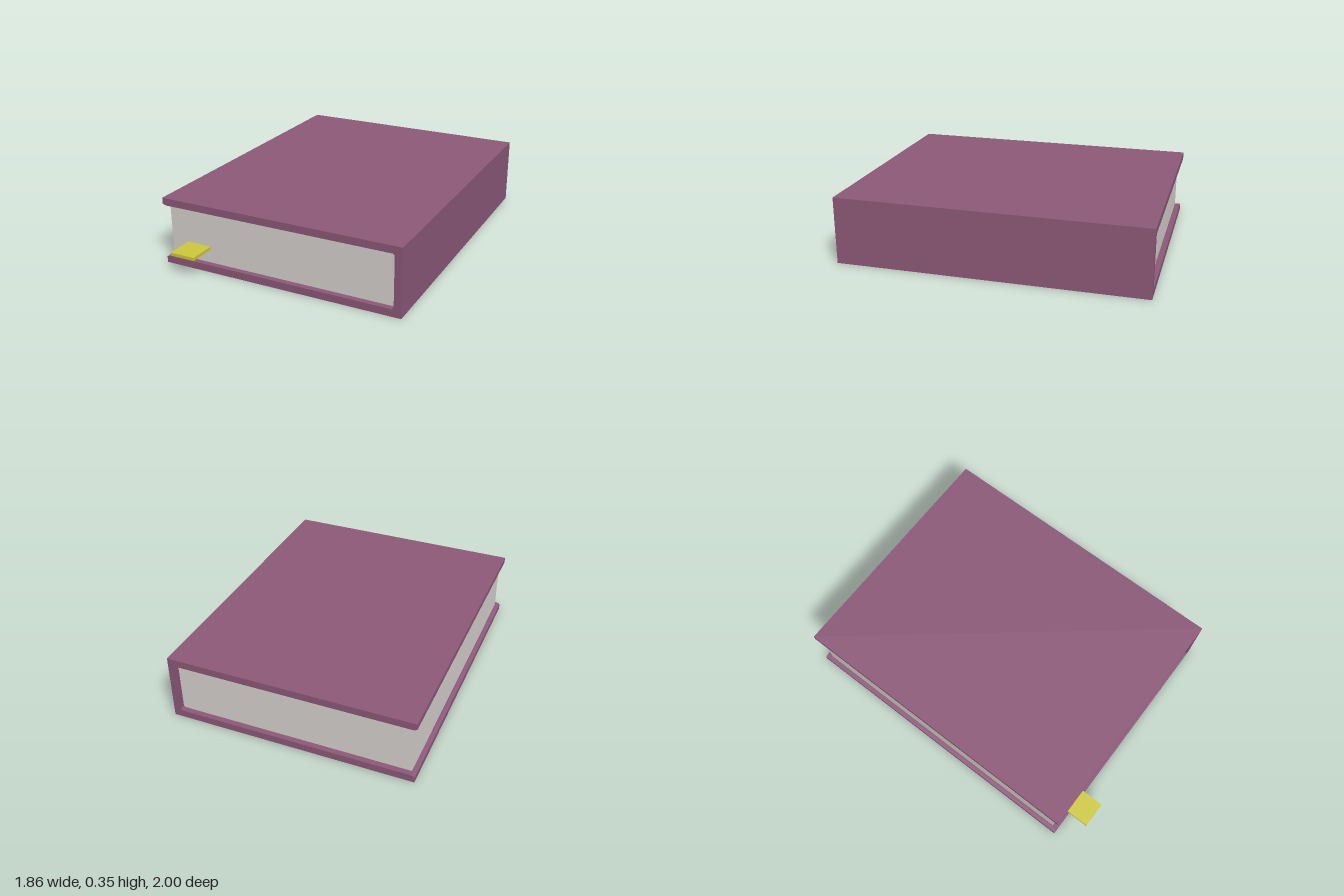
import * as THREE from 'three';

export function createModel() {
  const book = new THREE.Group();
  book.name = 'book';

  const material = (name, color) => {
    const m = new THREE.MeshStandardMaterial({ color });
    m.name = name;
    return m;
  };
  const coverPlum = material('coverPlum', 0x8e5a79);
  const pagePaper = material('pagePaper', 0xd9d5d2);
  const ribbonYellow = material('ribbonYellow', 0xd0ca3a);

  const W = 0.64, L = 0.795, H = 0.35; // half width, half length, height
  const T = 0.038;                     // cover thickness

  // Cover: one C-shaped profile with bevelled inner edges, run along the spine
  const profile = [
    [-W, 0], [W, 0], [W, H], [-W, H],
    [-W, H - 0.031], [-W + 0.016, H - T],
    [W - T - 0.008, H - T], [W - T, H - T - 0.008],
    [W - T, T + 0.008], [W - T - 0.008, T],
    [-W + 0.016, T], [-W, 0.031],
  ].map(([x, y]) => new THREE.Vector2(x, y));
  const coverGeometry = new THREE.ExtrudeGeometry(new THREE.Shape(profile), {
    depth: 2 * L, bevelEnabled: false,
  });
  coverGeometry.translate(0, 0, -L);
  const cover = new THREE.Mesh(coverGeometry, coverPlum);
  cover.name = 'cover';
  book.add(cover);

  const addBox = (name, mat, [x0, x1], [y0, y1], [z0, z1]) => {
    const mesh = new THREE.Mesh(new THREE.BoxGeometry(x1 - x0, y1 - y0, z1 - z0), mat);
    mesh.position.set((x0 + x1) / 2, (y0 + y1) / 2, (z0 + z1) / 2);
    mesh.name = name;
    book.add(mesh);
  };

  // Page block, set in from the cover on three sides
  addBox('pages', pagePaper, [-0.617, W - T], [T, H - T], [-0.766, 0.766]);

  // Bookmark sticking out of the front edge of the pages
  addBox('bookmark', ribbonYellow, [-0.525, -0.391], [0.109, 0.125], [0.6, 0.907]);

  // The book lies turned on the ground
  book.rotation.y = -THREE.MathUtils.degToRad(27);

  const model = new THREE.Group();
  model.name = 'model';
  model.add(book);
  return model;
}
